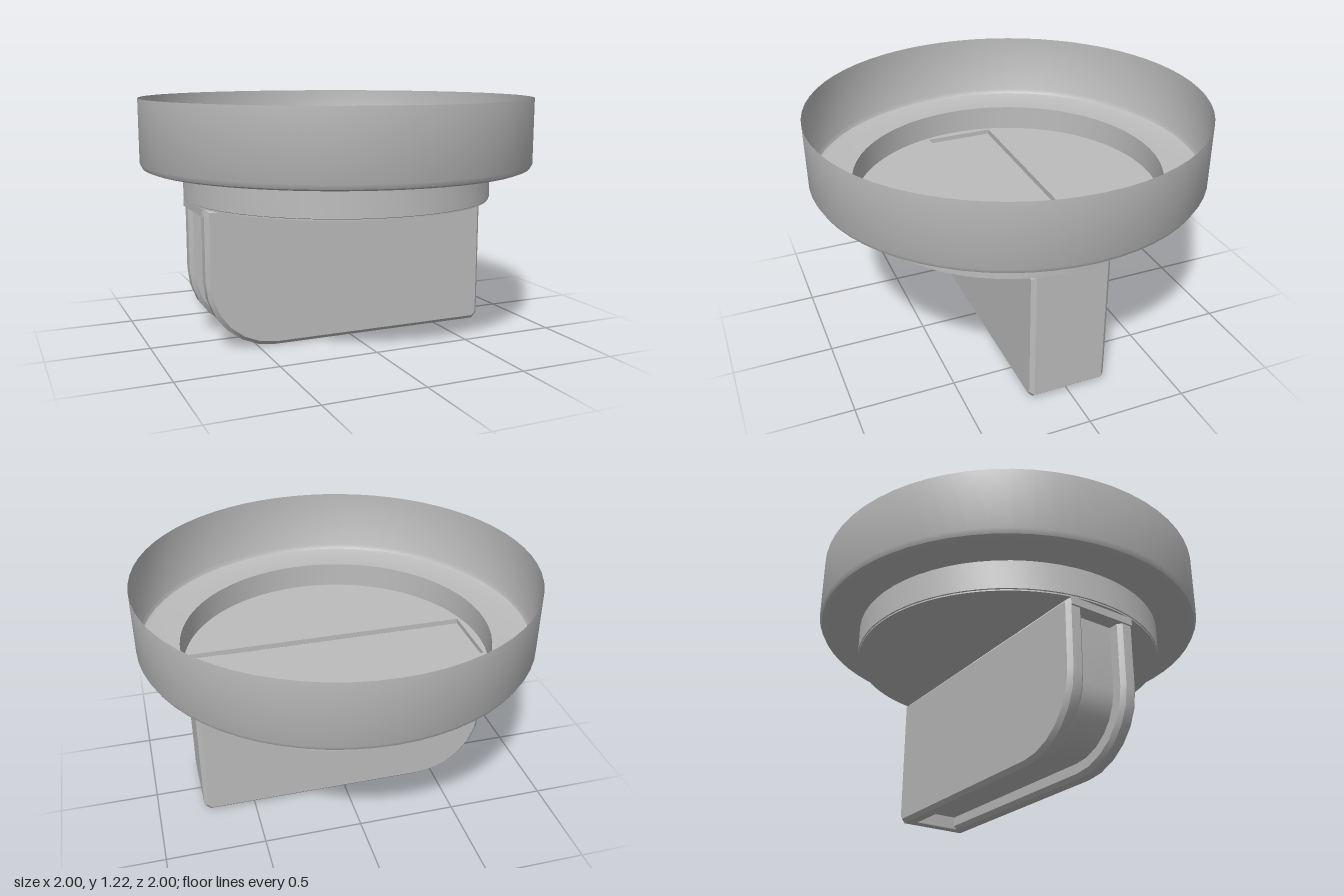
import * as THREE from 'three';
import { toCreasedNormals } from 'three/addons/utils/BufferGeometryUtils.js';

export function createModel() {
  const group = new THREE.Group();
  group.name = 'knob';
  const grey = new THREE.MeshStandardMaterial({ color: 0xbcbcbc, side: THREE.DoubleSide });
  grey.name = 'grey';

  const add = (name, geometry) => {
    const mesh = new THREE.Mesh(toCreasedNormals(geometry, 0.5), grey);
    mesh.name = name;
    group.add(mesh);
    return mesh;
  };

  // Side outline of the grip: square at +x, rounded lower corner at -x
  const outline = (x0, x1, y0, y1, radius, chamfer) => {
    const s = new THREE.Shape();
    s.moveTo(x0, y1);
    for (let i = 0; i <= 6; i++) {
      const a = (i / 6) * Math.PI / 2;
      s.lineTo(x0 + radius * (1 - Math.cos(a)), y0 + radius * (1 - Math.sin(a)));
    }
    s.lineTo(x1 - chamfer, y0);
    s.lineTo(x1, y0 + chamfer);
    s.lineTo(x1, y1);
    return s;
  };

  // Extrude between two z positions, with an optional chamfer kept inside the outline
  const slab = (shape, z0, z1, bevel = 0) => new THREE.ExtrudeGeometry(shape, {
    depth: z1 - z0 - 2 * bevel, bevelEnabled: bevel > 0, bevelThickness: bevel,
    bevelSize: bevel, bevelOffset: -bevel, bevelSegments: 1, curveSegments: 6,
  }).translate(0, 0, z0 + bevel);

  // Thin open dish with a ledge stepping down into the collar
  const profile = [[0.775, 0.71], [0.79, 0.72], [0.79, 0.868], [0.965, 0.868], [0.988, 0.877], [1, 0.9], [1, 1.22]];
  add('dish', new THREE.LatheGeometry(profile.map(([x, y]) => new THREE.Vector2(x, y)), 64));

  // Collar floor with a shallow slot over the grip
  const disc = new THREE.Shape().absarc(0, 0, 0.785, 0, Math.PI * 2, false);
  const slot = new THREE.Path();
  slot.moveTo(-0.745, -0.185).lineTo(-0.745, 0.185).lineTo(0.745, 0.185).lineTo(0.745, -0.185).closePath();
  disc.holes.push(slot);
  const floor = new THREE.ExtrudeGeometry(disc, { depth: 0.027, bevelEnabled: false, curveSegments: 64 });
  add('collarFloor', floor.rotateX(-Math.PI / 2).translate(0, 0.71, 0));

  // Two grip cheeks either side of the groove
  const cheek = outline(-0.76, 0.765, 0, 0.712, 0.35, 0.03);
  add('frontCheek', slab(cheek, 0.11, 0.2, 0.02));
  add('backCheek', slab(cheek, -0.2, -0.11, 0.02));

  // Recessed core forming the groove bed along the bottom and the rounded end
  add('gripCore', slab(outline(-0.69, 0.74, 0.07, 0.712, 0.28, 0.01), -0.15, 0.15));

  // Solid square end closing the groove
  add('gripEnd', slab(outline(0.69, 0.765, 0, 0.712, 0.005, 0.03), -0.18, 0.18));

  // Cap closing the groove under the collar
  add('grooveCap', new THREE.BoxGeometry(0.1, 0.04, 0.36).translate(-0.72, 0.692, 0));

  return group;
}
